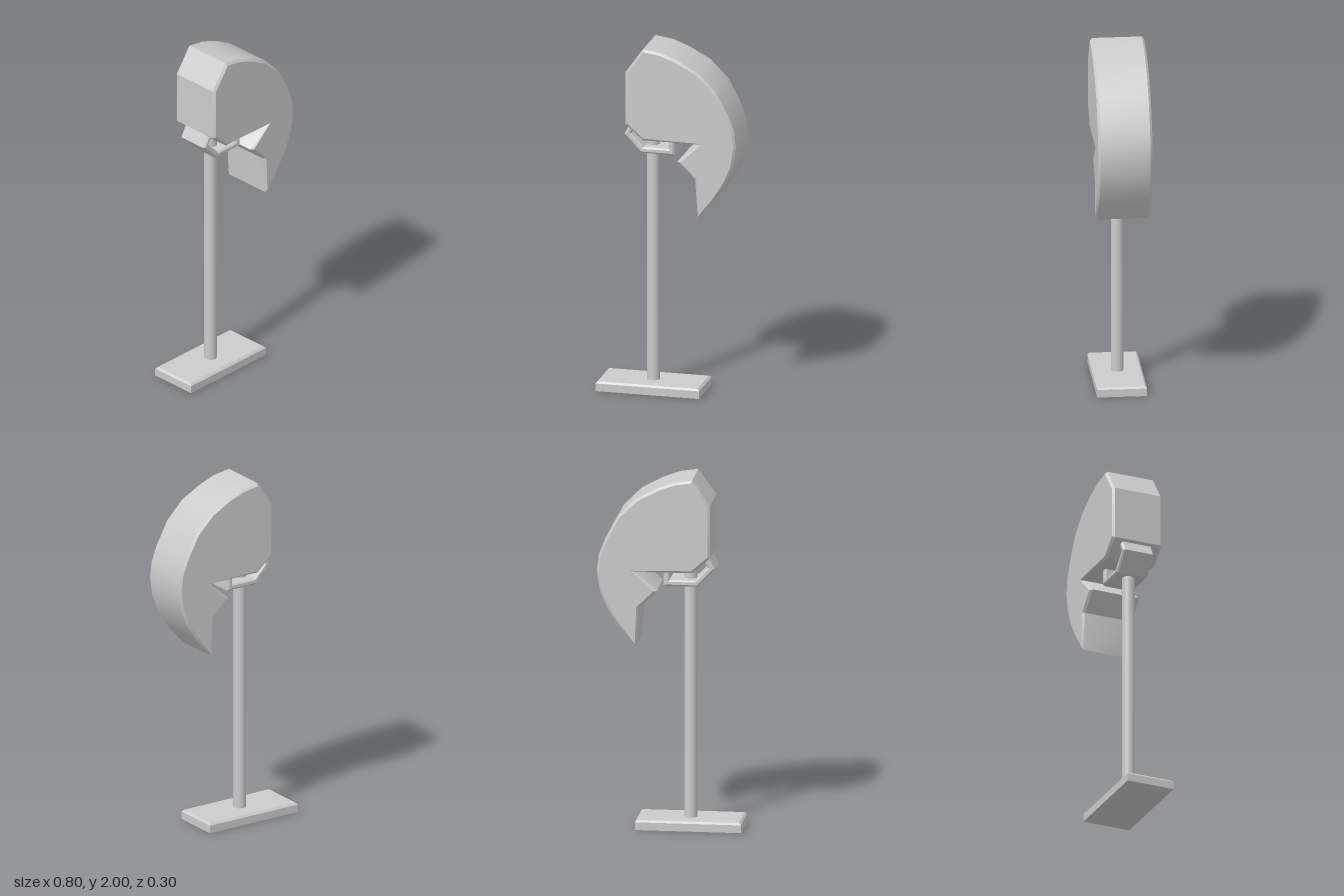
import * as THREE from 'three';
import { toCreasedNormals } from 'three/addons/utils/BufferGeometryUtils.js';

const material = new THREE.MeshStandardMaterial({ color: 0xcccccc });

function part(name, geometry, x = 0, y = 0) {
  const mesh = new THREE.Mesh(geometry, material);
  mesh.name = name;
  mesh.position.set(x, y, 0);
  return mesh;
}

// Outline in the xy plane, extruded along z with chamfered rims, centred on z = 0
function chamferedSlab(points, width, chamfer) {
  const shape = new THREE.Shape(points.map(([x, y]) => new THREE.Vector2(x, y)));
  const geometry = new THREE.ExtrudeGeometry(shape, {
    depth: width - 2 * chamfer,
    bevelEnabled: true,
    bevelThickness: chamfer,
    bevelSize: chamfer,
    bevelOffset: -chamfer,
    bevelSegments: 1,
  });
  geometry.translate(0, 0, chamfer - width / 2);
  return toCreasedNormals(geometry, 0.5);
}

// Box whose top edge is chamfered
function plinth(w, h, d, chamfer) {
  const geometry = new THREE.BoxGeometry(w, h, d, 1, 2, 1);
  const p = geometry.attributes.position;
  for (let i = 0; i < p.count; i++) {
    const y = p.getY(i);
    if (y > 0.001) {
      p.setX(i, p.getX(i) - Math.sign(p.getX(i)) * chamfer);
      p.setZ(i, p.getZ(i) - Math.sign(p.getZ(i)) * chamfer);
    } else if (y > -0.001) {
      p.setY(i, h / 2 - chamfer);
    }
  }
  return toCreasedNormals(geometry, 0.3);
}

export function createModel() {
  const group = new THREE.Group();
  group.name = 'helmetOnStand';

  // Stand
  group.add(part('base', plinth(0.592, 0.055, 0.278, 0.011), -0.106, 0.0275));
  group.add(part('pole', new THREE.CylinderGeometry(0.036, 0.036, 1.45, 32), -0.106, 0.765));

  // Helmet: crown, rounded back, neck point, cheek notch, flat brow
  const helmet = [
    [-0.13, 2.0], [-0.03, 1.985], [0.065, 1.95], [0.185, 1.885], [0.285, 1.785],
    [0.355, 1.655], [0.39, 1.565], [0.402, 1.47], [0.385, 1.36], [0.345, 1.26],
    [0.285, 1.165], [0.183, 1.045], [0.168, 1.265], [0.067, 1.365], [0.193, 1.473],
    [-0.13, 1.473], [-0.23, 1.56], [-0.23, 1.86],
  ];
  group.add(part('helmet', chamferedSlab(helmet, 0.302, 0.013)));

  // Chin strap: bent band hanging below the brow, outer edge then inner edge
  const strap = [
    [-0.215, 1.55], [-0.25, 1.485], [-0.155, 1.383], [0.037, 1.383], [0.037, 1.478],
    [0.003, 1.478], [0.003, 1.417], [-0.14, 1.417], [-0.212, 1.492], [-0.185, 1.535],
  ];
  group.add(part('chinStrap', chamferedSlab(strap, 0.185, 0.009)));

  return group;
}
